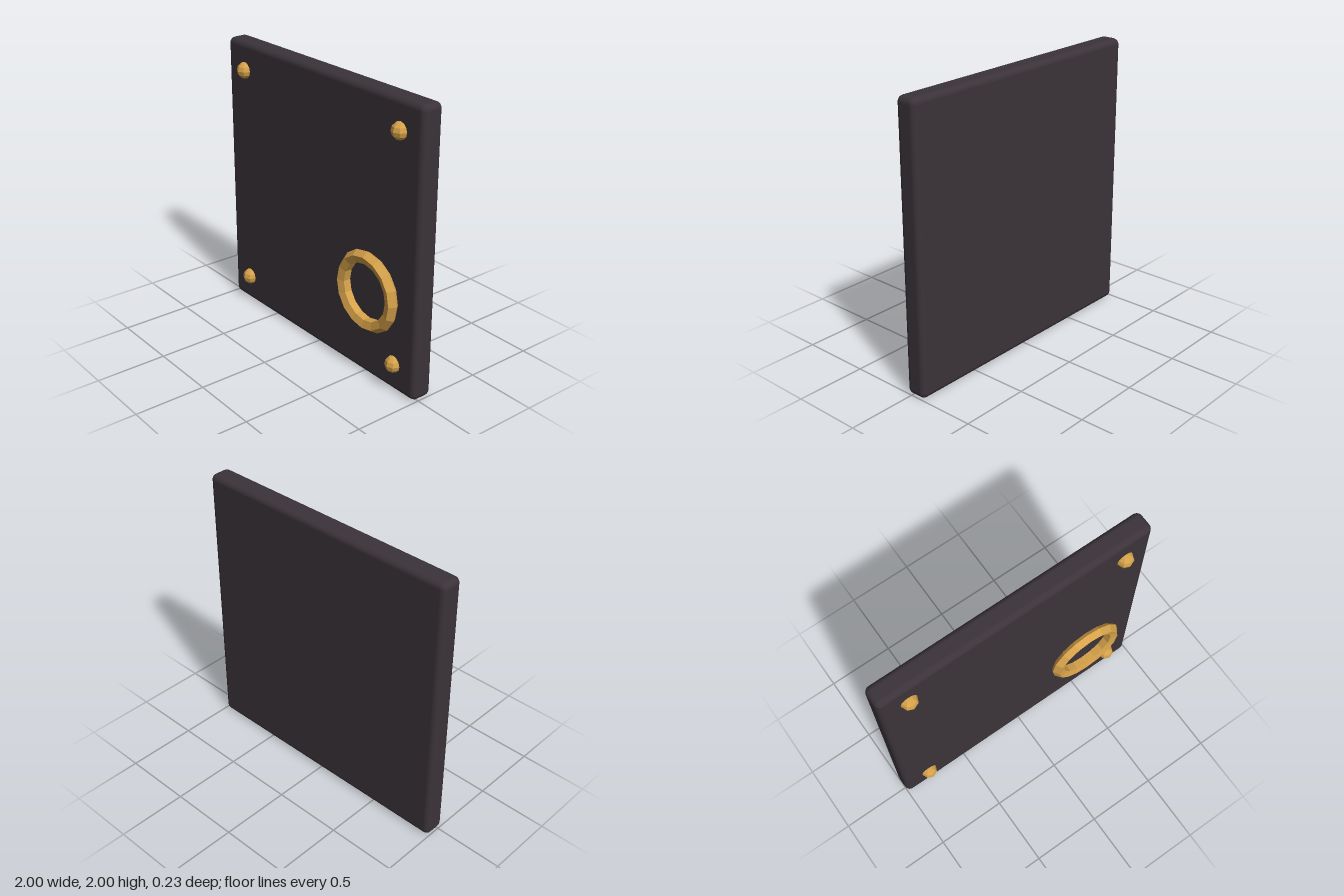
import * as THREE from 'three';
import { RoundedBoxGeometry } from 'three/addons/geometries/RoundedBoxGeometry.js';

export function createModel() {
  const group = new THREE.Group();
  group.name = 'studdedPanel';

  const slate = new THREE.MeshStandardMaterial({ color: 0x3b3339 });
  slate.name = 'dark slate';
  const brass = new THREE.MeshStandardMaterial({ color: 0xd6a24a });
  brass.name = 'brass';

  const add = (name, geometry, material, x, y, z) => {
    const mesh = new THREE.Mesh(geometry, material);
    mesh.name = name;
    mesh.position.set(x, y, z);
    group.add(mesh);
    return mesh;
  };

  // Faceted look: every face gets its own normal
  const faceted = (geometry) => {
    const flat = geometry.toNonIndexed();
    flat.computeVertexNormals();
    return flat;
  };

  // Slab with softly rounded edges
  const frontZ = 0.043;
  const depth = 0.157;
  add('panel', new RoundedBoxGeometry(2, 2, depth, 3, 0.042), slate, 0, 1, frontZ - depth / 2);

  // Ring handle, five-sided in section
  add('ring', faceted(new THREE.TorusGeometry(0.24, 0.046, 5, 16)), brass, 0.56, 0.64, 0.07);

  // Half-sunk stud in each corner
  const stud = faceted(new THREE.SphereGeometry(0.059, 8, 6));
  for (const x of [-0.8, 0.8]) {
    for (const y of [0.2, 1.8]) {
      const name = (y > 1 ? 'upper' : 'lower') + (x > 0 ? 'Left' : 'Right') + 'Stud';
      add(name, stud, brass, x, y, frontZ);
    }
  }

  return group;
}
